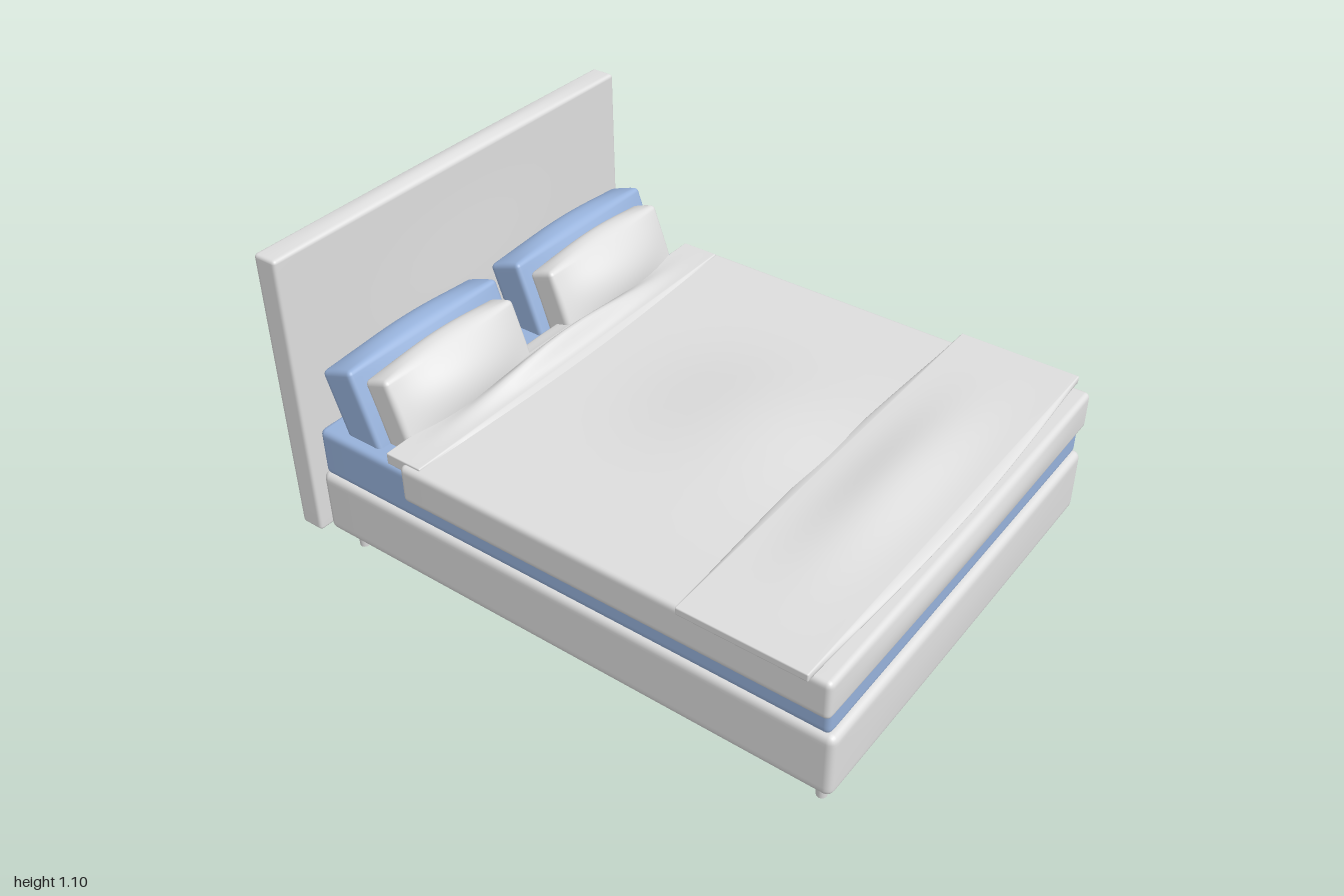
import * as THREE from 'three';
import { mergeVertices } from 'three/addons/utils/BufferGeometryUtils.js';

const RIM = 3, FLAT = 16, N = FLAT + 2 * RIM;

// Rounded box between two corners. Each bulge is [axis, sign, amount, sharpness]
// and pushes the middle of one face outwards.
function cushion(min, max, r, bulges = []) {
  const half = min.map((m, i) => (max[i] - m) / 2);
  const geo = new THREE.BoxGeometry(2, 2, 2, N, N, N);
  geo.deleteAttribute('uv');
  geo.deleteAttribute('normal');
  const pos = geo.attributes.position;
  for (let v = 0; v < pos.count; v++) {
    const inner = [], off = [];
    for (let a = 0; a < 3; a++) {
      const i = Math.round((pos.getComponent(v, a) + 1) / 2 * N);
      const h = half[a] - r;
      inner[a] = THREE.MathUtils.clamp((i - RIM) / FLAT, 0, 1) * 2 * h - h;
      off[a] = i < RIM ? i / RIM - 1 : i > N - RIM ? (i - N + RIM) / RIM : 0;
    }
    const len = Math.hypot(...off) || 1;
    const p = inner.map((c, a) => c + off[a] / len * r);
    const t = p.map((c, a) => THREE.MathUtils.clamp(c / half[a], -1, 1));
    for (const [axis, sign, amount, sharp] of bulges) {
      let w = Math.max(0, sign * t[axis]);
      for (let a = 0; a < 3; a++) {
        if (a !== axis) w *= Math.pow(Math.max(0, Math.cos(t[a] * Math.PI / 2)), sharp);
      }
      p[axis] += sign * amount * w;
    }
    pos.setXYZ(v, ...p);
  }
  const out = mergeVertices(geo, 1e-5);
  out.computeVertexNormals();
  return out;
}

export function createModel() {
  const group = new THREE.Group();
  const white = new THREE.MeshStandardMaterial({ color: 0xdedede });
  white.name = 'white fabric';
  const blue = new THREE.MeshStandardMaterial({ color: 0x97b2db });
  blue.name = 'blue fabric';

  const X = 0, Y = 1, Z = 2;
  const add = (name, mat, min, max, r, bulges) => {
    const mesh = new THREE.Mesh(cushion(min, max, r, bulges), mat);
    mesh.name = name;
    mesh.position.set(...min.map((m, i) => (m + max[i]) / 2));
    group.add(mesh);
    return mesh;
  };

  // Frame and mattress
  add('headboard', white, [-0.773, 0.085, -0.978], [0.773, 1.083, -0.892], 0.012,
    [[Z, -1, 0.022, 3], [Z, 1, 0.012, 3], [Y, 1, 0.012, 1]]);
  add('base', white, [-0.745, 0.088, -0.88], [0.745, 0.315, 0.99], 0.025,
    [[Y, -1, 0.02, 4], [Z, 1, 0.005, 1]]);
  add('mattress', blue, [-0.735, 0.31, -0.87], [0.735, 0.48, 0.97], 0.02);

  // Bedding
  add('duvet', white, [-0.763, 0.395, -0.5], [0.763, 0.528, 0.98], 0.018,
    [[Y, 1, 0.048, 5], [Z, 1, 0.015, 1]]);
  add('footThrow', white, [-0.785, 0.527, 0.515], [0.785, 0.553, 0.925], 0.004,
    [[Y, 1, 0.03, 3], [Z, 1, 0.03, 1], [Z, -1, 0.027, 1]]);
  add('foldedSheet', white, [-0.745, 0.495, -0.565], [0.745, 0.535, -0.432], 0.004,
    [[Y, 1, 0.055, 3], [Z, 1, 0.052, 1.2], [Z, -1, 0.055, 1.5]]);

  // Leaning pillows
  for (const [side, s] of [['left', 1], ['right', -1]]) {
    const pillow = (name, mat, w, h, d, y, z, bulges) => {
      const x = s * 0.375;
      const mesh = add(side + name, mat, [x - w / 2, y - h / 2, z - d / 2],
        [x + w / 2, y + h / 2, z + d / 2], 0.015, bulges);
      mesh.rotation.x = -0.35;
    };
    pillow('BackPillow', blue, 0.65, 0.28, 0.13, 0.572, -0.747,
      [[Y, 1, 0.03, 0.8], [Z, 1, 0.02, 1], [Z, -1, 0.015, 1]]);
    pillow('FrontPillow', white, 0.565, 0.27, 0.1, 0.565, -0.63,
      [[Y, 1, 0.028, 0.8], [Z, 1, 0.05, 1]]);
  }

  // Tapered legs
  const legGeo = new THREE.CylinderGeometry(0.021, 0.016, 0.1, 20);
  for (const x of [-0.672, 0.672]) {
    for (const z of [-0.815, 0.925]) {
      const leg = new THREE.Mesh(legGeo, white);
      leg.name = 'leg';
      leg.position.set(x, 0.05, z);
      group.add(leg);
    }
  }
  return group;
}
